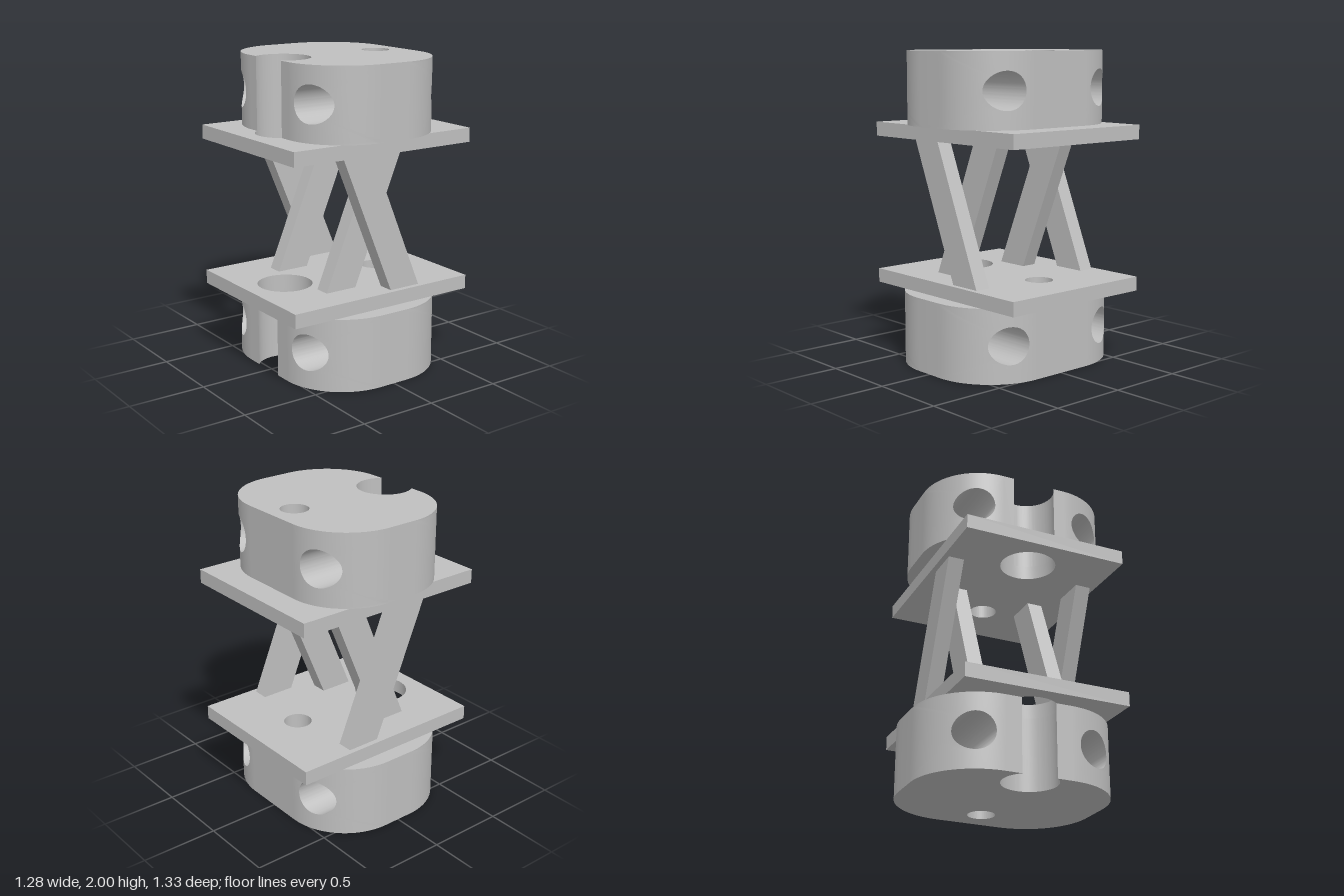
import * as THREE from 'three';
import { toCreasedNormals } from 'three/addons/utils/BufferGeometryUtils.js';

const NOTCH = { z: 0.39, r: 0.175 };   // large vertical bore near the front
const BORE = { z: -0.317, r: 0.089 };  // small vertical bore near the back
const HOLE = { x: 0.39, r: 0.118 };    // horizontal bores running front to back

// Extrude a plan drawn in (x, -z) upwards from y = 0
function extrudeUp(shape, height) {
  const geo = new THREE.ExtrudeGeometry(shape, { depth: height, bevelEnabled: false, curveSegments: 48 });
  return toCreasedNormals(geo.rotateX(-Math.PI / 2), 0.5);
}

function circlePath({ z, r }) {
  return new THREE.Path().absarc(0, -z, r, 0, Math.PI * 2, true);
}

// Middle of a block: flat front and back, open notch and small bore
function middleGeometry(c, b, height) {
  const a = Math.asin((b - NOTCH.z) / NOTCH.r);
  const s = new THREE.Shape();
  s.moveTo(c, -b);
  s.lineTo(c, b);
  s.lineTo(-c, b);
  s.lineTo(-c, -b);
  s.absarc(0, -NOTCH.z, NOTCH.r, Math.PI + a, -a, true);
  s.closePath();
  s.holes.push(circlePath(BORE));
  return extrudeUp(s, height);
}

// Rounded end of a block with a bore along z: a closed loop of sections
// swept around the bore, each going hole edge > front > rim > back > hole edge
function endGeometry(c, R, b, height) {
  const N = 24, M = 10, sections = [];
  const corners = [[0, 0], [1, 0], [1, 1], [0, 1]];
  for (let side = 0; side < 4; side++) {
    const p = corners[side], q = corners[(side + 1) % 4];
    for (let k = 0; k < N; k++) {
      const f = k / N, t = -Math.PI * 0.75 + (side + f) * Math.PI / 2;
      // rim and hole points as (angle around the corner, height)
      const rimA = (p[0] + (q[0] - p[0]) * f) * Math.PI / 2;
      const rimY = (p[1] + (q[1] - p[1]) * f) * height;
      const holeA = Math.asin((HOLE.x + HOLE.r * Math.cos(t) - c) / R);
      const holeY = height / 2 + HOLE.r * Math.sin(t);
      const front = [];
      for (let j = 0; j <= M; j++) {
        const g = j / M, ang = holeA + (rimA - holeA) * g;
        front.push([c + R * Math.sin(ang), holeY + (rimY - holeY) * g, b - R + R * Math.cos(ang)]);
      }
      const back = front.map(([x, y, z]) => [x, y, -z]).reverse();
      sections.push([...front, ...back]);
    }
  }
  const rows = sections.length, cols = sections[0].length, index = [];
  for (let i = 0; i < rows; i++) {
    for (let j = 0; j < cols; j++) {
      const i2 = (i + 1) % rows, j2 = (j + 1) % cols;
      const A = i * cols + j, B = i * cols + j2, C = i2 * cols + j2, D = i2 * cols + j;
      index.push(A, B, C, A, C, D);
    }
  }
  const geo = new THREE.BufferGeometry();
  geo.setAttribute('position', new THREE.Float32BufferAttribute(sections.flat(2), 3));
  geo.setIndex(index);
  return toCreasedNormals(geo, 0.5);
}

export function createModel() {
  const model = new THREE.Group();
  model.name = 'twoBlockStand';
  const grey = new THREE.MeshStandardMaterial({ color: 0xbfbfbf });
  grey.name = 'grey';

  function add(parent, name, geo, y = 0) {
    const mesh = new THREE.Mesh(geo, grey);
    mesh.name = name;
    mesh.position.y = y;
    parent.add(mesh);
    return mesh;
  }

  // Rounded blocks: half width, half depth, corner radius
  function addBlock(name, a, b, R, y, height) {
    const block = new THREE.Group();
    block.name = name;
    block.position.y = y;
    add(block, 'blockMiddle', middleGeometry(a - R, b, height));
    const end = endGeometry(a - R, R, b, height);
    add(block, 'leftEnd', end);
    add(block, 'rightEnd', end).rotation.y = Math.PI;
    model.add(block);
  }
  addBlock('lowerBlock', 0.638, 0.523, 0.42, 0, 0.47);
  addBlock('upperBlock', 0.61, 0.492, 0.393, 1.535, 0.465);

  // Square-edged plates with both bores
  const plate = new THREE.Shape();
  plate.moveTo(-0.535, -0.663);
  plate.lineTo(0.535, -0.663);
  plate.lineTo(0.535, 0.663);
  plate.lineTo(-0.535, 0.663);
  plate.closePath();
  plate.holes.push(circlePath(NOTCH), circlePath(BORE));
  const plateGeo = extrudeUp(plate, 0.091);
  add(model, 'lowerPlate', plateGeo, 0.47);
  add(model, 'upperPlate', plateGeo, 1.444);

  // Slanted struts, crossing in pairs on each side
  function strutGeometry(dir) {
    const s = new THREE.Shape(); // drawn in (-z, y)
    const y0 = 0.561, y1 = 1.444, lean = 0.183 * dir, w = 0.11;
    s.moveTo(lean - w, y0);
    s.lineTo(lean + w, y0);
    s.lineTo(-lean + w, y1);
    s.lineTo(-lean - w, y1);
    s.closePath();
    return new THREE.ExtrudeGeometry(s, { depth: 0.102, bevelEnabled: false })
      .translate(0, 0, -0.051).rotateY(Math.PI / 2);
  }
  const outer = strutGeometry(1), inner = strutGeometry(-1);
  for (const [side, sx] of [['left', 1], ['right', -1]]) {
    add(model, side + 'OuterStrut', outer).position.x = sx * 0.45;
    add(model, side + 'InnerStrut', inner).position.x = sx * 0.275;
  }
  return model;
}
